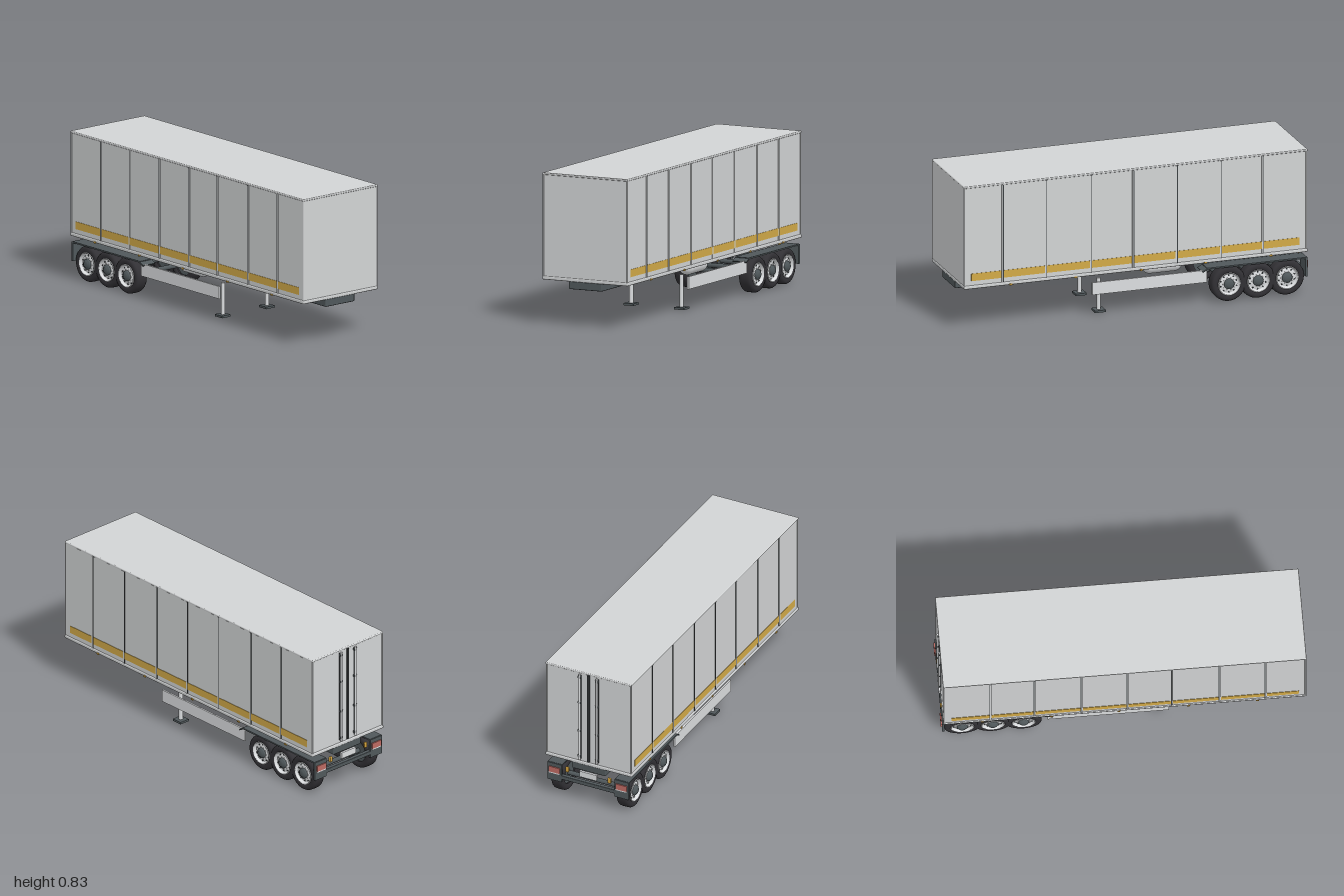
import * as THREE from 'three';
import { RoundedBoxGeometry } from 'three/addons/geometries/RoundedBoxGeometry.js';

const mat = (name, color, side = THREE.FrontSide) => {
  const m = new THREE.MeshStandardMaterial({ color, side });
  m.name = name;
  return m;
};

export function createModel() {
  const panel = mat('pale grey panel', 0xd2d4d5);
  const steel = mat('light steel', 0xdcdee0);
  const dark = mat('slate chassis', 0x50585b);
  const seam = mat('dark seam', 0x3a3e40);
  const rubber = mat('tyre rubber', 0x323135);
  const yellow = mat('yellow stripe', 0xd2aa48);
  const amber = mat('amber lamp', 0xcf9f3c);
  const red = mat('red lamp', 0xbe6a62);

  const model = new THREE.Group();
  model.name = 'semiTrailer';

  const add = (name, geo, material, x = 0, y = 0, z = 0, parent = model) => {
    const mesh = new THREE.Mesh(geo, material);
    mesh.name = name;
    mesh.position.set(x, y, z);
    parent.add(mesh);
    return mesh;
  };
  // Box given by its limits on each axis
  const box = (name, material, x0, x1, y0, y1, z0, z1, parent = model) =>
    add(name, new THREE.BoxGeometry(x1 - x0, y1 - y0, z1 - z0), material,
      (x0 + x1) / 2, (y0 + y1) / 2, (z0 + z1) / 2, parent);
  const rounded = (name, material, x0, x1, y0, y1, z0, z1, r) =>
    add(name, new RoundedBoxGeometry(x1 - x0, y1 - y0, z1 - z0, 3, r), material,
      (x0 + x1) / 2, (y0 + y1) / 2, (z0 + z1) / 2);

  // Cargo body with roof and floor frames
  box('cargoBody', panel, -0.26, 0.26, 0.25, 0.832, -0.98, 0.997);
  rounded('roofFrame', panel, -0.264, 0.264, 0.824, 0.836, -0.986, 1, 0.005);
  rounded('floorFrame', panel, -0.265, 0.265, 0.247, 0.267, -0.986, 1, 0.006);
  for (const s of [-1, 1]) {
    add('frontCornerPost', new THREE.CylinderGeometry(0.005, 0.005, 0.565, 12), panel, s * 0.258, 0.545, 0.994);
    add('rearCornerPost', new THREE.CylinderGeometry(0.005, 0.005, 0.565, 12), panel, s * 0.258, 0.545, -0.979);
  }

  // Chassis spine
  rounded('chassisSpine', dark, -0.103, 0.103, 0.205, 0.252, -0.98, 0.995, 0.006);

  // Side panels: stripe, ribs, seams and marker lamps
  const ribs = [0.778, 0.527, 0.267, 0.024, -0.227, -0.484, -0.725];
  const markers = [0.73, 0.355, -0.025, -0.395, -0.772];
  for (const s of [-1, 1]) {
    const side = new THREE.Group();
    side.name = s > 0 ? 'leftSideDetails' : 'rightSideDetails';
    model.add(side);
    add('stripe', new THREE.BoxGeometry(0.003, 0.042, 1.897), yellow, s * 0.2607, 0.313, 0.009, side);
    for (const z of ribs) {
      add('rib', new THREE.BoxGeometry(0.005, 0.557, 0.008), panel, s * 0.2607, 0.545, z, side);
      add('ribSeam', new THREE.BoxGeometry(0.004, 0.557, 0.004), seam, s * 0.2604, 0.545, z - 0.006, side);
    }
    for (const z of markers) {
      add('markerLamp', new THREE.BoxGeometry(0.006, 0.009, 0.016), amber, s * 0.265, 0.25, z, side);
    }
  }

  // Rear doors: centre seal, locking rods and brackets
  box('doorSeal', seam, -0.006, 0.006, 0.272, 0.822, -0.988, -0.979);
  for (const s of [-1, 1]) {
    add('rodShadow', new THREE.BoxGeometry(0.016, 0.53, 0.004), seam, s * 0.053, 0.547, -0.981);
    add('lockingRod', new THREE.CylinderGeometry(0.006, 0.006, 0.54, 12), steel, s * 0.053, 0.547, -0.989);
    for (const y of [0.3, 0.46, 0.64, 0.8]) {
      add('rodBracket', new THREE.BoxGeometry(0.018, 0.012, 0.012), dark, s * 0.053, y, -0.986);
    }
  }

  // Wheels: lathe profiles around y, turned so that y points outwards
  const lathe = (pts, n) => new THREE.LatheGeometry(pts.map(([r, y]) => new THREE.Vector2(r, y)), n);
  const tyreGeo = lathe([
    [0.062, -0.03], [0.07, -0.037], [0.085, -0.037], [0.094, -0.033], [0.099, -0.025], [0.1, -0.012],
    [0.1, 0.012], [0.099, 0.025], [0.094, 0.033], [0.085, 0.037], [0.07, 0.037], [0.062, 0.03],
    [0.062, -0.03]], 40);
  const rimGeo = lathe([
    [0.064, 0.028], [0.065, 0.036], [0.062, 0.038], [0.059, 0.034], [0.056, 0.022], [0.05, 0.021],
    [0.034, 0.028], [0, 0.028]], 32);
  const backGeo = lathe([[0, -0.022], [0.064, -0.022], [0.064, -0.03]], 32);
  const hubGeo = lathe([[0.03, 0.024], [0.029, 0.036], [0.025, 0.04], [0.018, 0.041], [0.016, 0.046], [0, 0.046]], 24);
  const holeGeo = new THREE.CylinderGeometry(0.0048, 0.0048, 0.004, 10);
  const boltGeo = new THREE.CylinderGeometry(0.0022, 0.0022, 0.007, 6);
  const makeWheel = () => {
    const wheel = new THREE.Group();
    wheel.name = 'wheel';
    add('tyre', tyreGeo, rubber, 0, 0, 0, wheel);
    add('rim', rimGeo, steel, 0, 0, 0, wheel);
    add('rimBack', backGeo, dark, 0, 0, 0, wheel).material.side = THREE.DoubleSide;
    add('hub', hubGeo, dark, 0, 0, 0, wheel);
    for (let i = 0; i < 10; i++) {
      const a = (i / 10) * Math.PI * 2, b = a + Math.PI / 10;
      add('ventHole', holeGeo, seam, Math.cos(a) * 0.047, 0.0225, Math.sin(a) * 0.047, wheel);
      add('bolt', boltGeo, steel, Math.cos(b) * 0.035, 0.028, Math.sin(b) * 0.035, wheel);
    }
    return wheel;
  };
  for (const z of [-0.543, -0.711, -0.878]) {
    for (const s of [-1, 1]) {
      const wheel = makeWheel();
      wheel.rotation.z = -s * Math.PI / 2;
      wheel.position.set(s * 0.2, 0.102, z);
      model.add(wheel);
    }
    add('axle', new THREE.CylinderGeometry(0.013, 0.013, 0.36, 16), dark, 0, 0.102, z).rotation.z = Math.PI / 2;
  }

  // Parts mirrored on both sides of the underbody
  for (const s of [-1, 1]) {
    const at = (name, material, x0, x1, y0, y1, z0, z1) =>
      box(name, material, s > 0 ? x0 : -x1, s > 0 ? x1 : -x0, y0, y1, z0, z1);
    at('fender', dark, 0.162, 0.249, 0.204, 0.212, -0.985, -0.41);
    const lip = add('fenderLip', new THREE.BoxGeometry(0.087, 0.007, 0.035), dark, s * 0.2055, 0.199, -0.4);
    lip.rotation.x = 0.5;
    at('sideSkirt', steel, 0.226, 0.236, 0.127, 0.197, -0.414, 0.249);
    // Landing gear
    add('landingLeg', new THREE.CylinderGeometry(0.0115, 0.0115, 0.18, 16), steel, s * 0.156, 0.105, 0.185);
    at('landingFoot', dark, 0.126, 0.187, 0.004, 0.016, 0.153, 0.215);
    // Tail lamp clusters
    at('lampPanel', dark, 0.162, 0.249, 0.102, 0.21, -0.99, -0.978);
    at('tailLamp', red, 0.172, 0.238, 0.155, 0.188, -0.997, -0.988);
    at('reverseLamp', steel, 0.172, 0.238, 0.148, 0.154, -0.995, -0.988);
    add('amberLamp', new RoundedBoxGeometry(0.02, 0.032, 0.014, 2, 0.005), amber, s * 0.129, 0.191, -0.985);
  }

  // Air tank, rear plate and bumper
  const tank = add('airTank', new THREE.CapsuleGeometry(0.046, 0.14, 8, 28), steel, 0, 0.18, -0.235);
  tank.rotation.x = Math.PI / 2;
  box('rearPlate', steel, -0.052, 0.052, 0.17, 0.205, -0.992, -0.978);
  rounded('bumperBar', dark, -0.17, 0.17, 0.119, 0.143, -0.99, -0.965, 0.004);

  return model;
}
